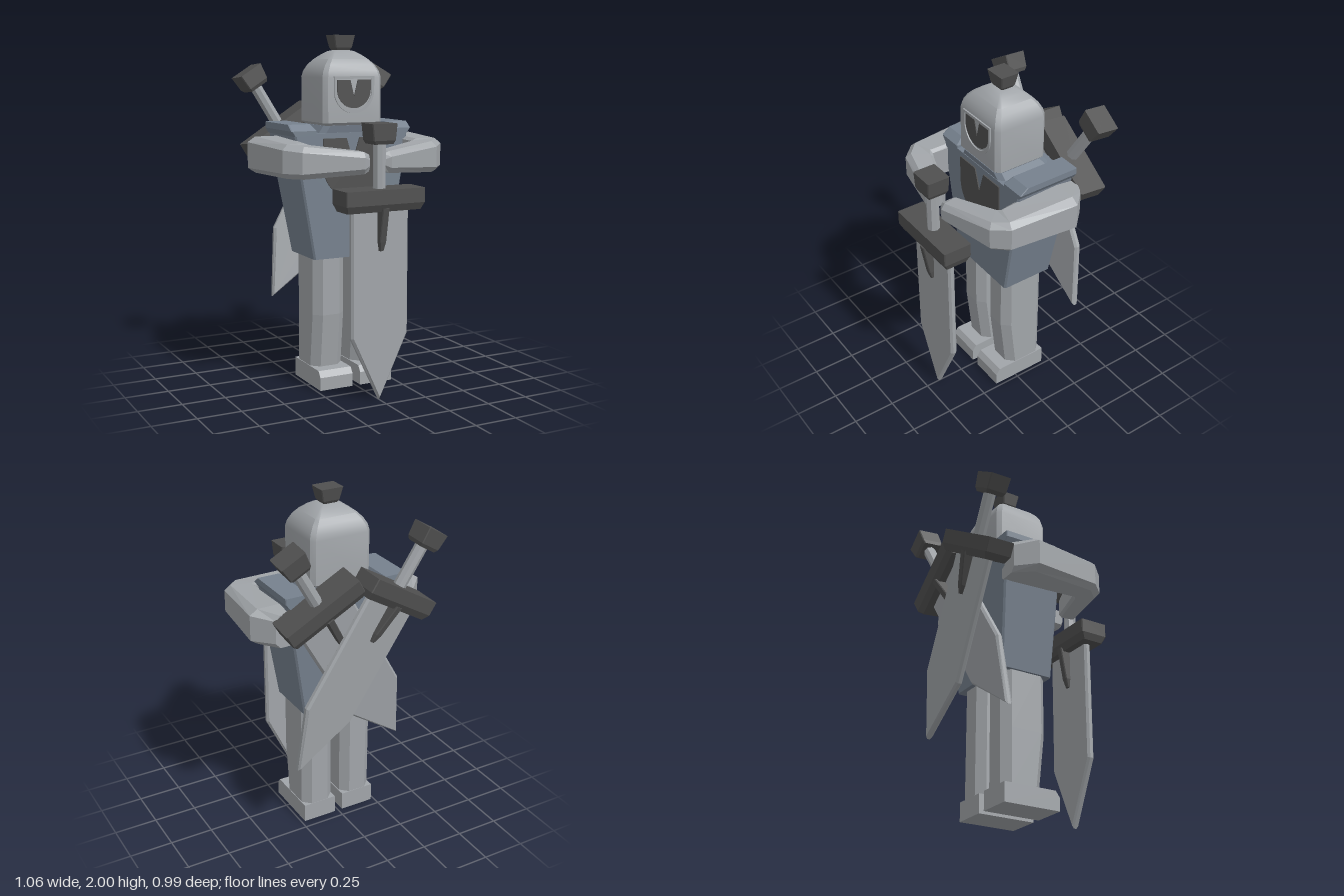
import * as THREE from 'three';
import { toCreasedNormals } from 'three/addons/utils/BufferGeometryUtils.js';

const mat = (name, color) => {
  const m = new THREE.MeshStandardMaterial({ color });
  m.name = name;
  return m;
};

// Closed solid through rings of equal length; faces are turned outward and shaded flat
function loft(rings) {
  const tris = [], n = rings[0].length;
  for (let i = 0; i < rings.length - 1; i++) {
    for (let j = 0; j < n; j++) {
      const k = (j + 1) % n, a = rings[i], b = rings[i + 1];
      tris.push([a[j], a[k], b[k]], [a[j], b[k], b[j]]);
    }
  }
  const first = rings[0], last = rings[rings.length - 1];
  for (let j = 1; j < n - 1; j++) {
    tris.push([first[0], first[j + 1], first[j]], [last[0], last[j], last[j + 1]]);
  }
  let volume = 0;
  const [A, B, C, O] = [0, 0, 0, 0].map(() => new THREE.Vector3());
  O.fromArray(first[0]);
  for (const t of tris) {
    A.fromArray(t[0]).sub(O); B.fromArray(t[1]).sub(O); C.fromArray(t[2]).sub(O);
    volume += A.dot(B.cross(C));
  }
  if (volume < 0) tris.forEach((t) => t.reverse());
  const geo = new THREE.BufferGeometry();
  geo.setAttribute('position', new THREE.Float32BufferAttribute(tris.flat(2), 3));
  geo.computeVertexNormals();
  return geo;
}

// Horizontal rectangle with corners cut by c
const ring = (y, x0, x1, z0, z1, c = 0.005) => [
  [x0 + c, y, z0], [x1 - c, y, z0], [x1, y, z0 + c], [x1, y, z1 - c],
  [x1 - c, y, z1], [x0 + c, y, z1], [x0, y, z1 - c], [x0, y, z0 + c],
];
const centred = (y, hx, hz, c) => ring(y, -hx, hx, -hz, hz, c);

// Shield outline with a round bottom and an optional notch at the top
function shield(w, top, mid, notch) {
  const s = new THREE.Shape();
  s.moveTo(w, top);
  if (notch) {
    s.lineTo(w * 0.22, top);
    s.lineTo(0, top - notch);
    s.lineTo(-w * 0.22, top);
  }
  s.lineTo(-w, top);
  s.lineTo(-w, mid);
  s.absarc(0, mid, w, Math.PI, Math.PI * 2, false);
  s.lineTo(w, top);
  return s;
}
const plate = (shape, depth, z) =>
  new THREE.ExtrudeGeometry(shape, { depth, bevelEnabled: false, curveSegments: 10 }).translate(0, 0, z);

export function createModel() {
  const steel = mat('light steel', 0xa1a5a9);
  const blue = mat('blue grey cloth', 0x76818e);
  const dark = mat('dark iron', 0x505050);
  const model = new THREE.Group();
  model.name = 'knight';
  const add = (parent, name, geo, material) => {
    const m = new THREE.Mesh(geo, material);
    m.name = name;
    parent.add(m);
    return m;
  };

  // Sword, point down, with its origin at the middle of the pommel
  function sword(name) {
    const g = new THREE.Group(), s = new THREE.Group();
    g.name = name;
    s.position.y = -1.475;
    g.add(s);
    const outline = new THREE.Shape([[0, 0.015], [0.163, 0.365], [0.163, 1.1], [-0.163, 1.1], [-0.163, 0.365]]
      .map((p) => new THREE.Vector2(...p)));
    const blade = new THREE.ExtrudeGeometry(outline, {
      depth: 0.018, bevelThickness: 0.012, bevelSize: 0.012, bevelSegments: 1,
    });
    add(s, 'blade', blade.translate(0, 0, -0.009), steel);
    add(s, 'guard', loft([centred(1.06, 0.225, 0.065), centred(1.1, 0.24, 0.085), centred(1.18, 0.24, 0.085)]), dark);
    add(s, 'guardSpike', loft([centred(0.84, 0.012, 0.035), centred(0.89, 0.02, 0.05), centred(1.08, 0.02, 0.085)]), dark);
    const grip = new THREE.CylinderGeometry(0.036, 0.036, 0.28, 8).toNonIndexed();
    grip.computeVertexNormals();
    add(s, 'grip', grip.translate(0, 1.3, 0), steel);
    add(s, 'pommel', loft([centred(1.42, 0.057, 0.055), centred(1.44, 0.067, 0.065), centred(1.53, 0.076, 0.067)]), dark);
    model.add(g);
    return g;
  }
  sword('frontSword').position.set(0, 1.475, 0.405);
  const outer = sword('outerBackSword');
  outer.position.set(-0.41, 1.75, -0.4);
  outer.rotation.set(-0.087, 0.07, 0.54, 'YXZ');
  const inner = sword('innerBackSword');
  inner.position.set(0.39, 1.75, -0.385);
  inner.rotation.set(-0.107, 0, -0.53, 'YXZ');

  // Torso and collar
  add(model, 'torso', loft([
    ring(0.75, -0.24, 0.24, -0.225, 0.095, 0.01),
    ring(1.3, -0.335, 0.335, -0.265, 0.095, 0.01),
    ring(1.46, -0.355, 0.355, -0.275, 0.095, 0.01),
  ]), blue);
  add(model, 'collar', loft([
    ring(1.45, -0.2, 0.2, -0.25, 0.09, 0.03),
    ring(1.5, -0.17, 0.17, -0.21, 0.1, 0.03),
  ]), blue);
  add(model, 'chestEmblem', plate(shield(0.185, 1.43, 1.275, 0.13), 0.008, 0.094), dark);

  // Helmet with a domed top
  const profile = [
    [1.485, 0.15], [1.515, 0.183], [1.765, 0.183], [1.8, 0.174], [1.835, 0.154],
    [1.865, 0.126], [1.893, 0.09], [1.91, 0.06], [1.916, 0.035],
  ];
  const helmet = loft(profile.map(([y, r]) => centred(y, r, r * 0.89, r * 0.13)));
  add(model, 'helmet', toCreasedNormals(helmet.translate(0, 0, -0.054), 0.5), steel);
  add(model, 'crest', loft([
    centred(1.905, 0.035, 0.03), centred(1.93, 0.052, 0.045), centred(2, 0.067, 0.056),
  ]).translate(0, 0, -0.057), dark);

  // Visor: dark notched plate inside a raised rim
  add(model, 'visor', plate(shield(0.105, 1.752, 1.7, 0.09), 0.006, 0.107), dark);
  const rim = shield(0.125, 1.772, 1.692);
  rim.holes.push(shield(0.111, 1.758, 1.695));
  add(model, 'visorRim', plate(rim, 0.009, 0.107), steel);

  // Arm sections: inner x, z; outer x, z; bottom, top
  const armPath = [
    [0.3, -0.265, 0.43, -0.268, 1.23, 1.42],
    [0.3, -0.16, 0.53, -0.165, 1.23, 1.435],
    [0.33, 0.19, 0.492, 0.235, 1.235, 1.42],
    [0.31, 0.197, 0.415, 0.32, 1.235, 1.41],
    [0.06, 0.285, 0.08, 0.4, 1.255, 1.375],
    [0.04, 0.315, 0.045, 0.385, 1.27, 1.36],
  ];
  const armRing = (s, [ix, iz, ox, oz, b, t]) => {
    const at = (u, y) => [s * (ix + (ox - ix) * u), y, iz + (oz - iz) * u];
    const c = 0.03;
    return [at(0.12, b), at(0.8, b), at(1, b + c), at(1, t - c), at(0.8, t), at(0.12, t), at(0, t - c / 2), at(0, b + c / 2)];
  };

  for (const [s, side] of [[1, 'left'], [-1, 'right']]) {
    const mirror = (r) => r.map(([x, y, z]) => [s * x, y, z]);
    add(model, side + 'Arm', loft(armPath.map((p) => armRing(s, p))), steel);

    // Shoulder pad, bevelled toward the front
    add(model, side + 'ShoulderPad', loft([
      mirror(ring(1.445, 0.22, 0.355, -0.28, 0.095)),
      mirror(ring(1.475, 0.222, 0.375, -0.28, 0.095)),
      mirror(ring(1.51, 0.24, 0.375, -0.28, 0.048)),
    ]), blue);

    // Leg with cut corners and a tapering shin
    add(model, side + 'Leg', loft([
      mirror(ring(0.1, 0.03, 0.226, -0.198, 0.045, 0.045)),
      mirror(ring(0.42, 0.03, 0.226, -0.198, 0.08, 0.045)),
      mirror(ring(0.8, 0.03, 0.226, -0.198, 0.08, 0.045)),
    ]), steel);

    // Boot from its side profile
    const boot = [[-0.2, 0], [0.145, 0], [0.145, 0.075], [0.12, 0.11], [-0.2, 0.11]];
    add(model, side + 'Boot', loft([0.025, 0.23].map((x) => boot.map(([z, y]) => [s * x, y, z]))), steel);
  }
  return model;
}
